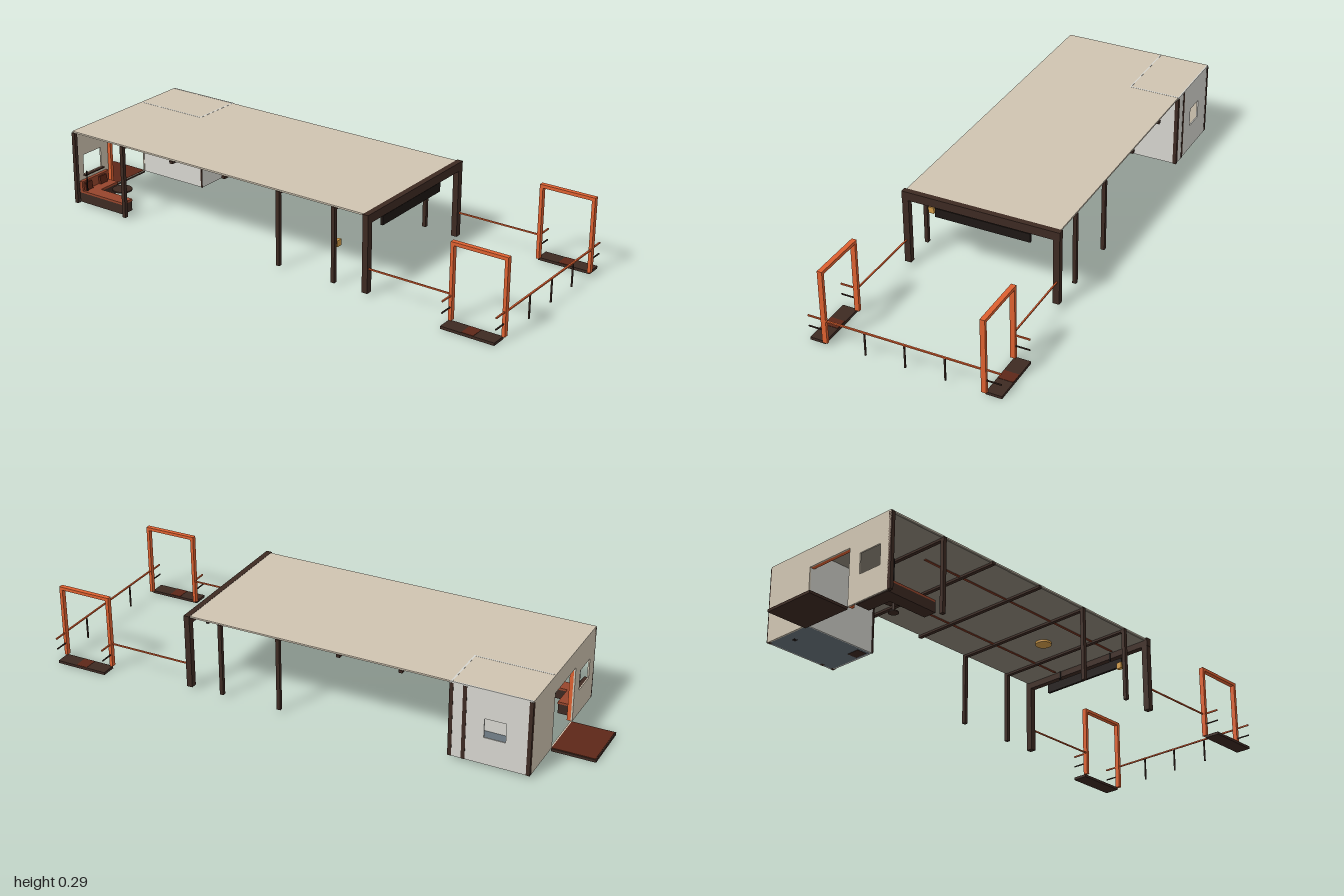
import * as THREE from 'three';

const mat = (color) => new THREE.MeshStandardMaterial({ color });
const DARK = mat(0x3d2a22), BLACK = mat(0x1e1714), ORANGE = mat(0xdc6030), RED = mat(0x5e2718),
  RUST = mat(0x96452c), BEIGE = mat(0xcfc4b1), PALE = mat(0xd6d5cf), SLATE = mat(0x66727a),
  AMBER = mat(0xd09a48), CEILING = mat(0x8e877a);

export function createModel() {
  const model = new THREE.Group();

  const add = (name, geo, material, parent = model) => {
    const mesh = new THREE.Mesh(geo, material);
    mesh.name = name;
    parent.add(mesh);
    return mesh;
  };
  // Box given by its extents on each axis
  const box = (name, material, [x0, x1], [y0, y1], [z0, z1], parent = model) => {
    const mesh = add(name, new THREE.BoxGeometry(Math.abs(x1 - x0), y1 - y0, z1 - z0), material, parent);
    mesh.position.set((x0 + x1) / 2, (y0 + y1) / 2, (z0 + z1) / 2);
    return mesh;
  };
  const rod = (name, material, r, h, x, y, z, parent = model, sides = 20) => {
    const mesh = add(name, new THREE.CylinderGeometry(r, r, h, sides), material, parent);
    mesh.position.set(x, y, z);
    return mesh;
  };
  // Flat wall panel with rectangular openings [a0, a1, y0, y1]
  const panel = (a0, a1, y0, y1, openings, depth) => {
    const rect = (target, [p, q, r, s]) =>
      target.moveTo(p, r).lineTo(q, r).lineTo(q, s).lineTo(p, s).closePath();
    const shape = rect(new THREE.Shape(), [a0, a1, y0, y1]);
    for (const o of openings) shape.holes.push(rect(new THREE.Path(), o));
    return new THREE.ExtrudeGeometry(shape, { depth, bevelEnabled: false });
  };

  // Roof, beams and ceiling fittings
  box('roof', BEIGE, [-0.29, 0.29], [0.287, 0.293], [-0.84, 0.45]);
  box('ceiling', CEILING, [-0.285, 0.285], [0.285, 0.287], [-0.833, 0.45]);
  const beamZ = [0.33, 0.1, -0.133, -0.367, -0.6];
  for (const z of beamZ) box('roofBeam', DARK, [-0.294, 0.294], [0.277, 0.287], [z - 0.007, z + 0.007]);
  for (const s of [-1, 1]) box('ceilingStrip', RUST, [s * 0.135, s * 0.143], [0.282, 0.286], [-0.54, 0.44]);
  rod('ceilingLamp', AMBER, 0.03, 0.008, 0, 0.281, 0.215, model, 28);

  // Slim side posts
  for (const s of [-1, 1]) {
    for (const z of [0.33, 0.1, -0.6, -0.833]) {
      box('sidePost', DARK, [s * 0.28, s * 0.294], [0.01, 0.288], [z - 0.007, z + 0.007]);
    }
  }
  box('roomCornerPost', DARK, [0.28, 0.294], [0.01, 0.288], [-0.558, -0.544]);

  // Front portal with hanging board
  box('frontHeader', DARK, [-0.297, 0.297], [0.262, 0.294], [0.45, 0.472]);
  for (const s of [-1, 1]) box('frontPost', DARK, [s * 0.272, s * 0.296], [0.01, 0.263], [0.45, 0.472]);
  box('hangingBoard', BLACK, [-0.18, 0.18], [0.213, 0.247], [0.444, 0.454]);
  for (const s of [-1, 1]) box('boardHanger', BLACK, [s * 0.12, s * 0.124], [0.245, 0.286], [0.447, 0.451]);

  // Rear wall with doorway and window
  const rear = panel(-0.29, 0.29, 0.01, 0.288, [[-0.1, 0.093, 0.0101, 0.222], [-0.245, -0.15, 0.109, 0.186]], 0.006);
  add('rearWall', rear, BEIGE).position.z = -0.84;
  box('windowSill', DARK, [-0.249, -0.146], [0.105, 0.109], [-0.836, -0.822]);
  box('doorJamb', ORANGE, [-0.112, -0.1], [0.01, 0.234], [-0.836, -0.82]);
  box('doorLintel', ORANGE, [-0.1, 0.094], [0.222, 0.234], [-0.836, -0.82]);
  box('doorFascia', BLACK, [-0.13, 0.094], [0.236, 0.264], [-0.834, -0.815]);

  // Rear deck
  box('rearDeck', DARK, [-0.1, 0.1], [0, 0.01], [-1, -0.84]);
  box('rearDeckTop', RED, [-0.096, 0.096], [0.01, 0.0115], [-0.996, -0.84]);

  // Enclosed corner room
  const room = new THREE.Group();
  room.name = 'cornerRoom';
  model.add(room);
  const side = panel(-0.838, -0.545, 0.01, 0.2935, [[-0.75, -0.672, 0.112, 0.184]], 0.005);
  side.rotateY(-Math.PI / 2);
  add('roomSideWall', side, PALE, room).position.x = 0.293;
  box('roomInnerWall', PALE, [0.095, 0.1], [0.01, 0.2935], [-0.834, -0.55], room);
  box('roomFrontWall', PALE, [0.095, 0.288], [0.01, 0.2935], [-0.553, -0.547], room);
  box('roomFloor', SLATE, [0.1, 0.288], [0.01, 0.014], [-0.834, -0.553], room);
  box('roomInnerEdge', DARK, [0.092, 0.096], [0.01, 0.26], [-0.552, -0.546], room);
  box('washstand', DARK, [0.11, 0.16], [0.009, 0.09], [-0.6, -0.56], room);
  box('basin', PALE, [0.108, 0.165], [0.09, 0.1], [-0.605, -0.557], room);
  rod('toiletBowl', PALE, 0.02, 0.045, 0.25, 0.036, -0.62, room);
  box('toiletTank', PALE, [0.23, 0.27], [0.014, 0.085], [-0.595, -0.57], room);
  box('floorDrain', BLACK, [0.2, 0.215], [0.0095, 0.0145], [-0.8, -0.785], room);

  // Corner sofa under the rear window
  const sofa = new THREE.Group();
  sofa.name = 'sofa';
  model.add(sofa);
  box('sofaBaseRear', DARK, [-0.275, -0.13], [0.01, 0.047], [-0.83, -0.775], sofa);
  box('sofaBaseSide', DARK, [-0.275, -0.225], [0.01, 0.047], [-0.775, -0.62], sofa);
  box('sofaSeatRear', RUST, [-0.275, -0.13], [0.047, 0.055], [-0.83, -0.773], sofa);
  box('sofaSeatSide', RUST, [-0.275, -0.223], [0.047, 0.055], [-0.773, -0.62], sofa);
  box('sofaBack', RUST, [-0.275, -0.13], [0.055, 0.092], [-0.83, -0.817], sofa);
  for (const x of [-0.25, -0.17]) {
    const c = box('cushion', RED, [x - 0.018, x + 0.018], [0.056, 0.086], [-0.816, -0.806], sofa);
    c.rotation.x = -0.15;
  }

  // Round table
  rod('tableTop', DARK, 0.037, 0.005, -0.175, 0.055, -0.71, model, 28);
  rod('tableStem', DARK, 0.005, 0.045, -0.175, 0.033, -0.71);
  rod('tableFoot', DARK, 0.018, 0.004, -0.175, 0.012, -0.71);

  // Lantern on the left-hand post, slim stand beside the sofa
  box('lantern', AMBER, [-0.275, -0.253], [0.137, 0.16], [0.323, 0.337]);
  rod('slimStand', BLACK, 0.0025, 0.08, -0.267, 0.097, -0.8);

  // Front gates, steps and rails
  for (const s of [-1, 1]) {
    const gate = new THREE.Group();
    gate.name = s > 0 ? 'leftGate' : 'rightGate';
    model.add(gate);
    box('step', DARK, [s * 0.293, s * 0.35], [0, 0.01], [0.79, 0.99], gate);
    box('stepInlay', RED, [s * 0.295, s * 0.349], [0.01, 0.0112], [0.868, 0.912], gate);
    for (const z of [0.788, 0.986]) {
      box('gatePost', ORANGE, [s * 0.281, s * 0.299], [0.01, 0.278], [z, z + 0.012], gate);
      box('upperStubRail', ORANGE, [s * 0.298, s * 0.35], [0.096, 0.101], [z + 0.004, z + 0.009], gate);
      box('lowerStubRail', DARK, [s * 0.298, s * 0.35], [0.055, 0.059], [z + 0.004, z + 0.008], gate);
    }
    box('gateBeam', ORANGE, [s * 0.281, s * 0.299], [0.276, 0.288], [0.788, 0.998], gate);
    box('sideRail', ORANGE, [s * 0.284, s * 0.289], [0.096, 0.101], [0.472, 0.788], gate);
  }
  box('frontRail', ORANGE, [-0.29, 0.29], [0.096, 0.101], [0.992, 0.998]);
  for (const x of [-0.138, 0.008, 0.153]) {
    box('frontRailPost', DARK, [x - 0.0025, x + 0.0025], [0.01, 0.097], [0.9925, 0.9975]);
  }
  return model;
}
